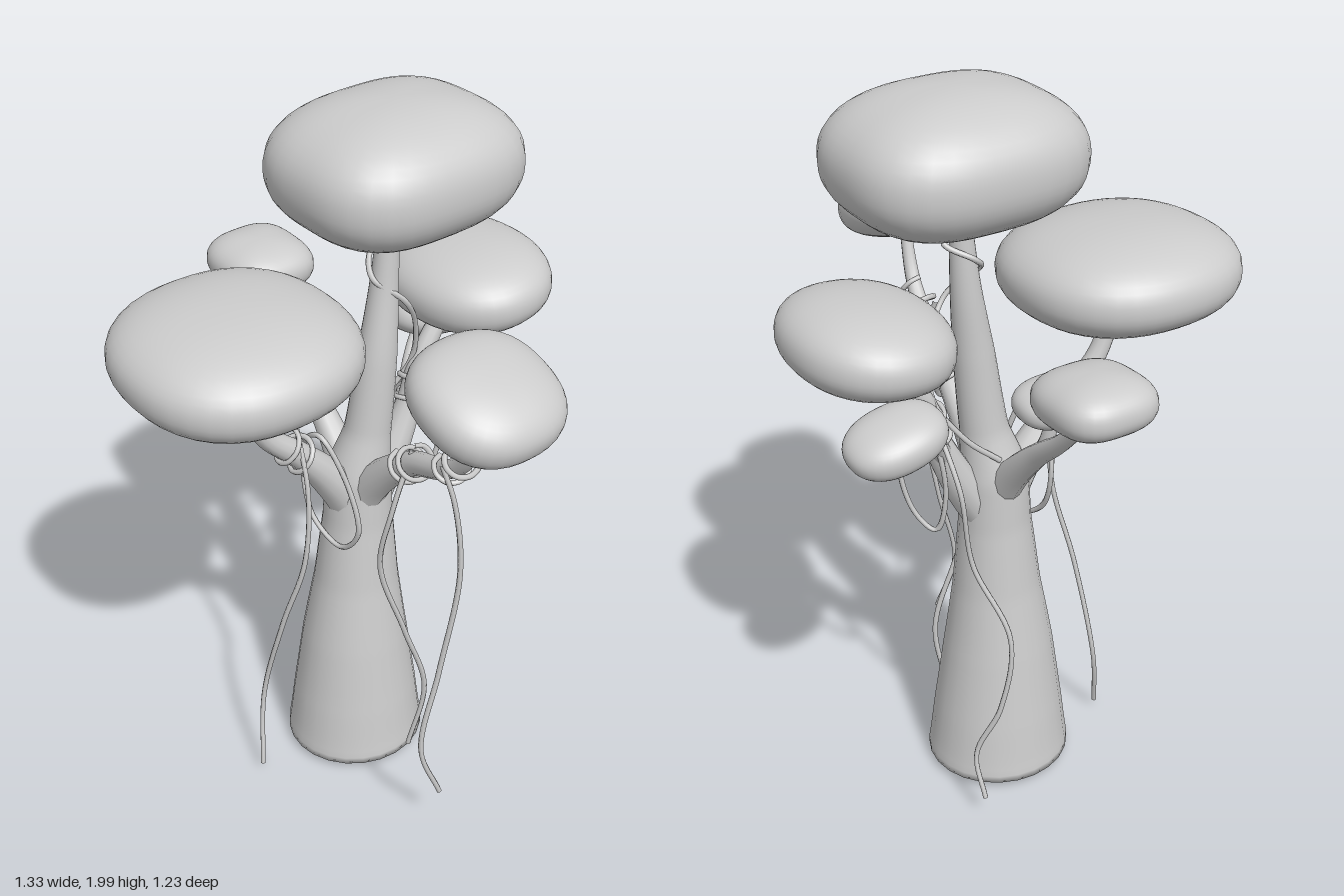
import * as THREE from 'three';
import { mergeVertices } from 'three/addons/utils/BufferGeometryUtils.js';

const material = new THREE.MeshStandardMaterial({ color: 0xcccccc });
const vec = (p) => new THREE.Vector3(p[0], p[1], p[2]);

function add(parent, name, geometry) {
  const mesh = new THREE.Mesh(geometry, material);
  mesh.name = name;
  parent.add(mesh);
  return mesh;
}

// Closed tube along a smooth path; each point is [x, y, z, radius]
function taperedTube(points, segments, sides) {
  const curve = new THREE.CatmullRomCurve3(points.map(vec), false, 'centripetal');
  const geometry = new THREE.TubeGeometry(curve, segments, 1, sides, false);
  const pos = geometry.attributes.position;
  const v = new THREE.Vector3();
  const centers = [];
  for (let i = 0; i <= segments; i++) {
    const u = i / segments;
    const center = curve.getPointAt(u);
    centers.push(center);
    const t = curve.getUtoTmapping(u) * (points.length - 1);
    const k = Math.min(Math.floor(t), points.length - 2);
    const radius = THREE.MathUtils.lerp(points[k][3], points[k + 1][3], t - k);
    for (let j = 0; j <= sides; j++) {
      const n = i * (sides + 1) + j;
      v.fromBufferAttribute(pos, n).sub(center).multiplyScalar(radius).add(center);
      pos.setXYZ(n, v.x, v.y, v.z);
    }
  }
  return smooth(geometry);
}

// Weld seams and recompute smooth normals
function smooth(geometry) {
  geometry.deleteAttribute('uv');
  geometry.deleteAttribute('normal');
  const welded = mergeVertices(geometry, 1e-5);
  welded.computeVertexNormals();
  return welded;
}

// Rounded cushion of leaves: a sphere squared off in plan
function canopy(parent, name, center, radii, tilt, square) {
  const geometry = new THREE.SphereGeometry(1, 40, 28);
  const pos = geometry.attributes.position;
  for (let i = 0; i < pos.count; i++) {
    const x = pos.getX(i), y = pos.getY(i), z = pos.getZ(i);
    const plan = (Math.abs(x) ** square + Math.abs(z) ** square) ** (1 / square);
    const s = 1 / (plan ** 2.3 + Math.abs(y) ** 2.3) ** (1 / 2.3);
    pos.setXYZ(i, x * s * radii[0], y * s * radii[1], z * s * radii[2]);
  }
  const mesh = add(parent, name, smooth(geometry));
  mesh.position.set(...center);
  mesh.rotation.set(tilt[0], 0, tilt[1]);
}

function vine(parent, name, points, closed = false) {
  const curve = new THREE.CatmullRomCurve3(points.map(vec), closed);
  add(parent, name, new THREE.TubeGeometry(curve, points.length * 10, 0.0075, 6, closed));
}

// Vine coiled around a branch between two points
function coil(parent, from, to, radius, turns) {
  const a = vec(from), b = vec(to);
  const axis = b.clone().sub(a).normalize();
  const side = new THREE.Vector3(0, 0, 1).cross(axis).normalize();
  const other = axis.clone().cross(side);
  const points = [];
  for (let i = 0; i <= turns * 8; i++) {
    const angle = i * Math.PI / 4;
    const p = a.clone().lerp(b, i / (turns * 8));
    p.addScaledVector(side, radius * Math.cos(angle)).addScaledVector(other, radius * Math.sin(angle));
    points.push(p.toArray());
  }
  vine(parent, 'coiledVine', points);
}

export function createModel() {
  const tree = new THREE.Group();
  tree.name = 'tree';

  // Trunk, flared at the foot and running up into the top canopy
  const trunk = add(tree, 'trunk', taperedTube([
    [-0.07, 0.012, -0.04, 0], [-0.07, 0.013, -0.04, 0.175], [-0.07, 0.035, -0.04, 0.196],
    [-0.07, 0.2, -0.04, 0.174], [-0.07, 0.4, -0.04, 0.147], [-0.07, 0.6, -0.045, 0.116],
    [-0.07, 0.8, -0.05, 0.095], [-0.07, 0.95, -0.055, 0.088], [-0.06, 1.08, -0.075, 0.062],
    [-0.055, 1.3, -0.1, 0.052], [-0.06, 1.5, -0.125, 0.037], [-0.06, 1.75, -0.14, 0.022],
  ], 90, 24));
  trunk.scale.z = 1.04;

  // Branches
  const branches = {
    frontBranch: [[-0.07, 0.85, -0.03, 0.06], [-0.07, 0.96, 0.04, 0.052], [-0.07, 1.08, 0.14, 0.036],
      [-0.08, 1.19, 0.25, 0.028], [-0.09, 1.4, 0.33, 0.02]],
    backBranch: [[-0.07, 0.82, -0.08, 0.06], [-0.07, 0.95, -0.16, 0.05], [-0.07, 1.1, -0.23, 0.036],
      [-0.07, 1.22, -0.265, 0.03], [-0.07, 1.4, -0.38, 0.022]],
    smallBackBranch: [[-0.07, 1.02, -0.2, 0.028], [-0.11, 1.11, -0.25, 0.024],
      [-0.17, 1.18, -0.32, 0.018], [-0.23, 1.24, -0.41, 0.014]],
    leftBranch: [[-0.06, 0.86, -0.05, 0.06], [0.01, 0.96, -0.05, 0.05], [0.16, 1.1, -0.045, 0.034],
      [0.33, 1.19, -0.015, 0.026], [0.43, 1.29, 0, 0.02], [0.49, 1.46, 0.01, 0.014]],
    rightBranch: [[-0.08, 0.88, -0.05, 0.055], [-0.17, 0.99, -0.055, 0.042], [-0.28, 1.1, -0.06, 0.03],
      [-0.4, 1.2, -0.07, 0.022], [-0.55, 1.36, -0.08, 0.014]],
    smallRightBranch: [[-0.27, 1.08, -0.06, 0.024], [-0.305, 1.15, -0.05, 0.02], [-0.325, 1.28, -0.04, 0.014]],
  };
  for (const [name, points] of Object.entries(branches)) add(tree, name, taperedTube(points, 30, 12));

  // Canopies
  canopy(tree, 'topCanopy', [-0.05, 1.83, -0.15], [0.26, 0.17, 0.305], [0, 0], 2.9);
  canopy(tree, 'frontCanopy', [-0.09, 1.45, 0.31], [0.3, 0.132, 0.305], [0, -0.04], 2.3);
  canopy(tree, 'backCanopy', [-0.07, 1.43, -0.415], [0.245, 0.108, 0.2], [0.1, 0], 2.2);
  canopy(tree, 'leftCanopy', [0.49, 1.495, 0.02], [0.178, 0.092, 0.18], [0, -0.36], 2.4);
  canopy(tree, 'rightCanopy', [-0.535, 1.383, -0.08], [0.135, 0.073, 0.13], [0, -0.06], 3);
  canopy(tree, 'smallRightCanopy', [-0.33, 1.275, -0.04], [0.083, 0.054, 0.112], [0, 0.1], 2.5);
  canopy(tree, 'smallBackCanopy', [-0.23, 1.238, -0.43], [0.1, 0.062, 0.13], [-0.22, 0.15], 2.3);

  // Hanging vines
  vine(tree, 'outerLeftVine', [[0.36, 1.24, 0.03], [0.39, 1.13, 0.01], [0.41, 0.92, 0], [0.395, 0.6, 0.045],
    [0.39, 0.34, 0.095], [0.415, 0.17, 0.045]]);
  vine(tree, 'innerLeftVine', [[0.17, 1.15, -0.04], [0.165, 0.98, 0.02], [0.13, 0.78, 0.03], [0.155, 0.53, -0.04],
    [0.17, 0.3, -0.105], [0.14, 0.065, -0.075]]);
  vine(tree, 'frontVine', [[-0.07, 1.18, 0.15], [-0.01, 1.0, 0.16], [-0.005, 0.78, 0.18], [-0.06, 0.55, 0.22],
    [-0.125, 0.25, 0.25], [-0.085, 0.035, 0.29]]);
  vine(tree, 'rightVine', [[-0.1, 1.15, -0.24], [-0.19, 1.0, -0.23], [-0.2, 0.77, -0.2], [-0.3, 0.58, -0.15],
    [-0.3, 0.36, -0.18], [-0.265, 0.2, -0.235], [-0.31, 0.08, -0.235]]);

  // Drooping loops of vine
  vine(tree, 'frontVineLoop', [[-0.08, 1.12, 0.1], [-0.17, 0.97, 0.06], [-0.12, 0.82, 0.065], [-0.02, 0.765, 0.05],
    [0.055, 0.85, 0.045], [0.03, 1.0, 0.06], [-0.03, 1.14, 0.1]], true);
  vine(tree, 'backVineLoop', [[-0.04, 1.2, -0.27], [-0.02, 1.05, -0.31], [-0.04, 0.88, -0.28], [-0.08, 0.83, -0.24],
    [-0.11, 0.95, -0.225], [-0.1, 1.12, -0.25]], true);
  vine(tree, 'trunkVine', [[-0.03, 1.66, -0.12], [-0.06, 1.62, -0.19], [-0.11, 1.58, -0.13], [-0.06, 1.53, -0.09],
    [-0.015, 1.46, -0.16], [-0.04, 1.36, -0.22], [-0.08, 1.22, -0.24], [-0.12, 1.1, -0.17], [-0.14, 1.02, -0.08]]);

  // Vines coiled around the branches
  coil(tree, [0.13, 1.075, -0.045], [0.2, 1.13, -0.04], 0.044, 2);
  coil(tree, [0.33, 1.19, -0.015], [0.42, 1.28, 0], 0.04, 2);
  coil(tree, [-0.07, 1.06, 0.12], [-0.075, 1.15, 0.2], 0.046, 2);
  coil(tree, [-0.07, 1.1, -0.23], [-0.07, 1.22, -0.265], 0.043, 2);
  return tree;
}
